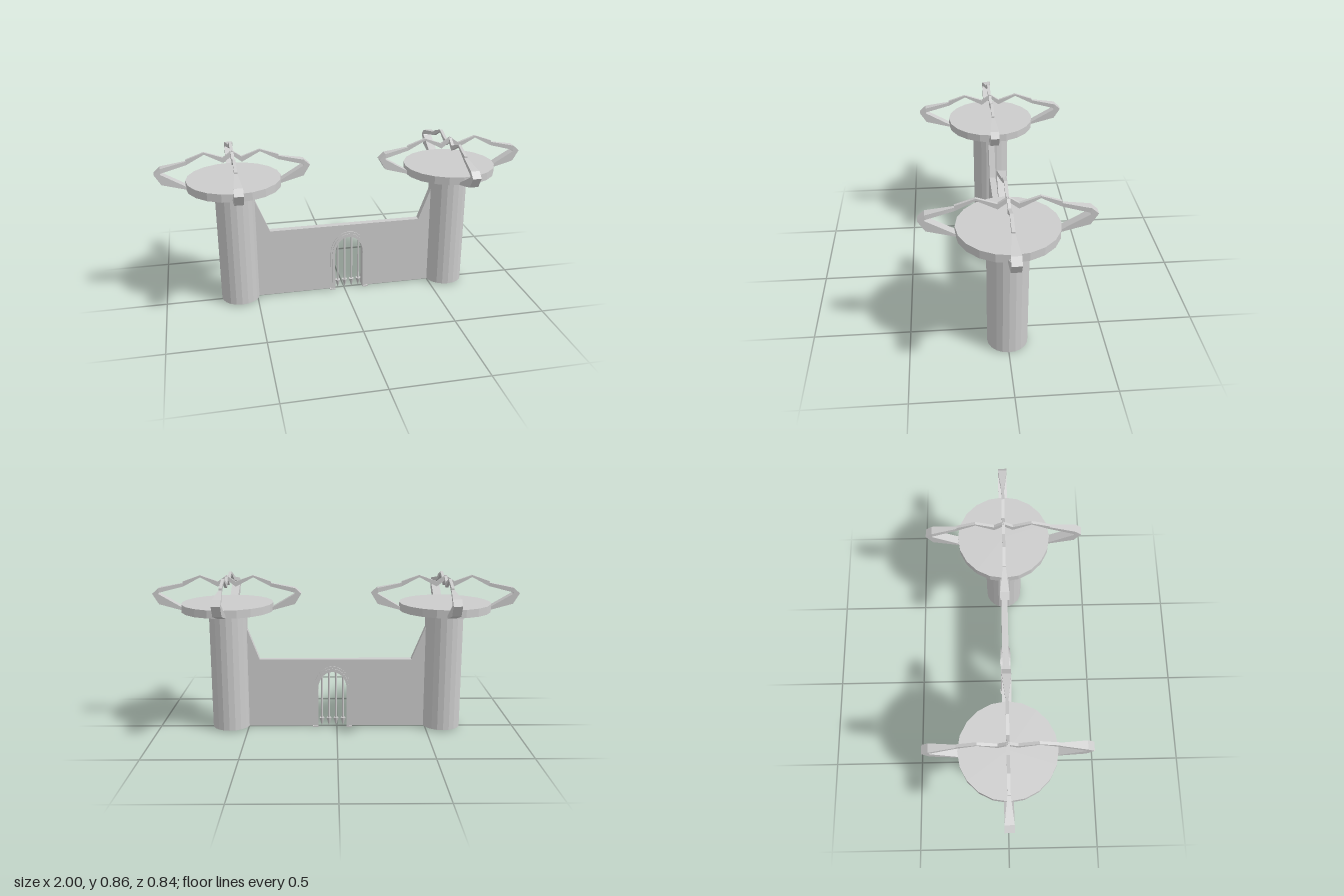
import * as THREE from 'three';

const grey = new THREE.MeshStandardMaterial({ color: 0xcccccc, flatShading: true });

function add(parent, name, geometry, x = 0, y = 0, z = 0) {
  const mesh = new THREE.Mesh(geometry, grey);
  mesh.name = name;
  mesh.position.set(x, y, z);
  parent.add(mesh);
  return mesh;
}

// Loft of four-cornered sections: [outer r, outer y, inner r, inner y, half width]
function loft(stations) {
  const pos = [], index = [];
  stations.forEach(([ro, yo, ri, yi, w], i) => {
    pos.push(ro, yo, w, ro, yo, -w, ri, yi, -w, ri, yi, w);
    if (i === 0) return;
    const a = (i - 1) * 4, b = i * 4;
    for (let j = 0; j < 4; j++) {
      const k = (j + 1) % 4;
      index.push(a + j, a + k, b + k, a + j, b + k, b + j);
    }
  });
  const e = (stations.length - 1) * 4;
  index.push(0, 2, 1, 0, 3, 2, e, e + 1, e + 2, e, e + 2, e + 3);
  const g = new THREE.BufferGeometry();
  g.setAttribute('position', new THREE.Float32BufferAttribute(pos, 3));
  g.setIndex(index);
  const flat = g.toNonIndexed();
  flat.computeVertexNormals();
  return flat;
}

// Extrude a shape symmetrically about z = 0
function slab(shape, halfDepth) {
  const g = new THREE.ExtrudeGeometry(shape, { depth: halfDepth * 2, bevelEnabled: false, curveSegments: 8 });
  return g.translate(0, 0, -halfDepth);
}

// Points of the arched doorway, from left foot over the top to right foot
const GATE_X = 0.025, SPRING = 0.23, FLOOR = 0.012;
function archPoints(halfWidth, rise) {
  const pts = [new THREE.Vector2(GATE_X - halfWidth, FLOOR)];
  for (let i = 0; i <= 14; i++) {
    const a = Math.PI * (1 - i / 14);
    pts.push(new THREE.Vector2(GATE_X + halfWidth * Math.cos(a), SPRING + rise * Math.sin(a)));
  }
  pts.push(new THREE.Vector2(GATE_X + halfWidth, FLOOR));
  return pts;
}

function archBand(outer, outerRise, inner, innerRise, halfDepth) {
  return slab(new THREE.Shape([...archPoints(outer, outerRise), ...archPoints(inner, innerRise).reverse()]), halfDepth);
}

function createTower(x) {
  const tower = new THREE.Group();
  tower.name = 'tower';
  tower.position.x = x;
  add(tower, 'towerShaft', new THREE.CylinderGeometry(0.105, 0.105, 0.655, 20), 0, 0.3405, 0);

  // Platform with a shallow conical underside
  const profile = [[0, 0.663], [0.105, 0.664], [0.25, 0.677], [0.25, 0.72], [0, 0.72]];
  add(tower, 'platform', new THREE.LatheGeometry(profile.map(p => new THREE.Vector2(...p)), 20));

  // Four claws bending out from the rim and back over the platform
  const claws = new THREE.Group();
  claws.name = 'claws';
  claws.scale.x = 0.96;
  tower.add(claws);
  const claw = loft([
    [0.245, 0.677, 0.245, 0.69, 0.024],
    [0.385, 0.714, 0.383, 0.768, 0.024],
    [0.421, 0.771, 0.388, 0.773, 0.024],
    [0.387, 0.801, 0.383, 0.777, 0.024],
    [0.248, 0.827, 0.248, 0.808, 0.008],
  ]);
  const tip = loft([
    [0.25, 0.835, 0.25, 0.807, 0.008],
    [0.15, 0.869, 0.15, 0.858, 0.008],
    [0.05, 0.835, 0.05, 0.807, 0.008],
    [0, 0.869, 0, 0.845, 0.008],
  ]);
  for (let i = 0; i < 4; i++) {
    add(claws, 'claw', claw).rotation.y = i * Math.PI / 2;
    add(claws, 'clawTip', tip).rotation.y = i * Math.PI / 2;
  }
  return tower;
}

export function createModel() {
  const model = new THREE.Group();
  model.name = 'gatehouse';
  model.add(createTower(-0.592), createTower(0.598));

  // Curtain wall with raised shoulders and the doorway cut out
  const V = (x, y) => new THREE.Vector2(x, y);
  const wall = new THREE.Shape([
    V(-0.51, FLOOR), ...archPoints(0.085, 0.108), V(0.52, FLOOR),
    V(0.52, 0.64), V(0.43, 0.4), V(-0.415, 0.4), V(-0.51, 0.635),
  ]);
  add(model, 'wall', slab(wall, 0.018));

  // Stepped arch surround
  add(model, 'outerArch', archBand(0.104, 0.13, 0.092, 0.116, 0.023));
  add(model, 'innerArch', archBand(0.094, 0.118, 0.08, 0.1, 0.028));
  for (const side of [-1, 1]) {
    add(model, 'archFoot', new THREE.BoxGeometry(0.031, 0.007, 0.062), GATE_X + side * 0.096, 0.0105, 0);
  }

  // Spiked portcullis bars
  for (const offset of [-0.06, -0.02, 0.02, 0.06]) {
    const top = SPRING + 0.105 * Math.sqrt(1 - (offset / 0.085) ** 2);
    add(model, 'portcullisBar', new THREE.CylinderGeometry(0.0055, 0.0055, top - 0.05, 8), GATE_X + offset, (top + 0.05) / 2, 0);
    add(model, 'portcullisSpike', new THREE.ConeGeometry(0.015, 0.05, 8).rotateX(Math.PI), GATE_X + offset, 0.03, 0);
  }
  return model;
}
